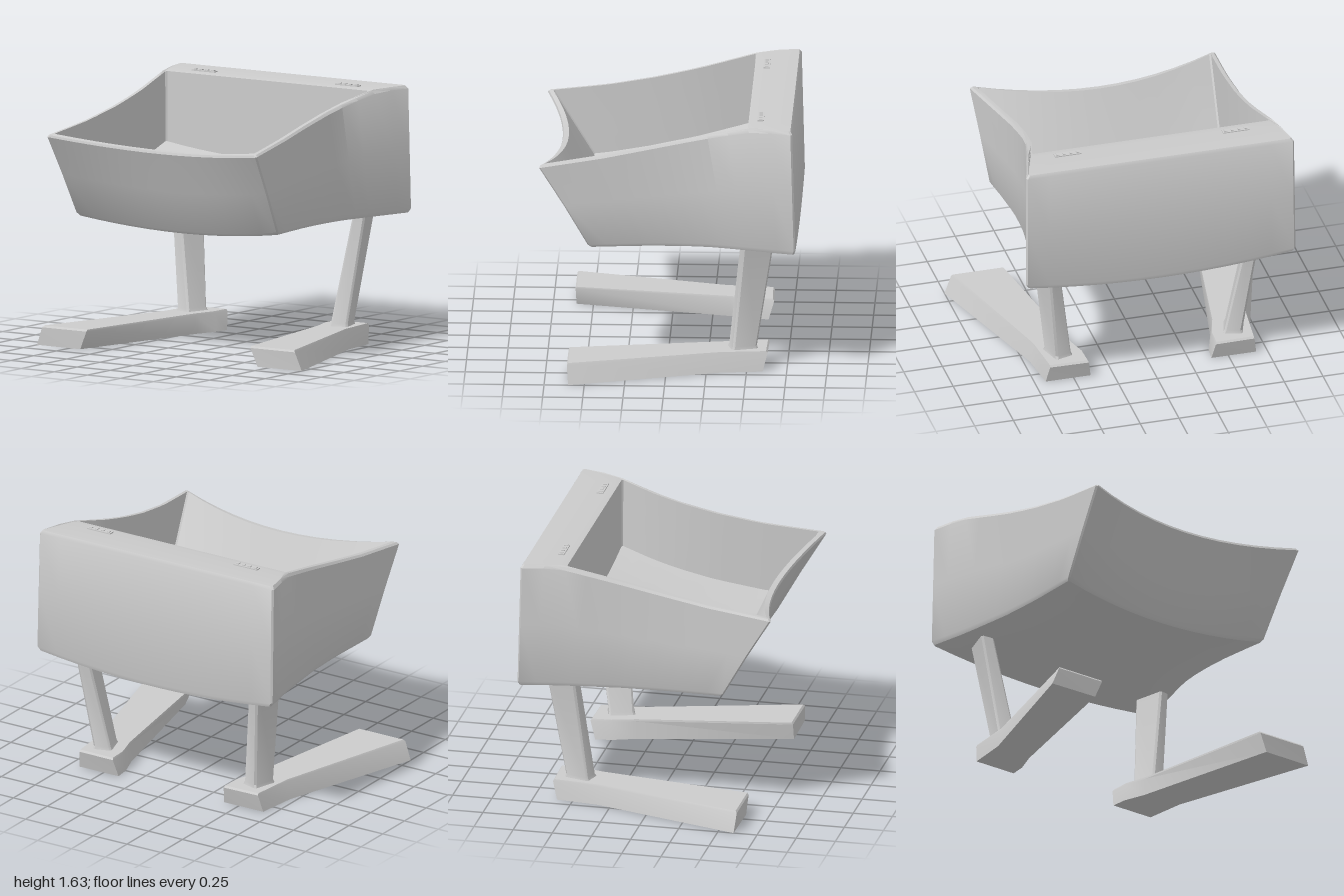
import * as THREE from 'three';
import { toCreasedNormals } from 'three/addons/utils/BufferGeometryUtils.js';

const lerp = THREE.MathUtils.lerp;
const material = new THREE.MeshStandardMaterial({ color: 0xcccccc });

// Piecewise linear lookup through [position, value] pairs
function along(table, z) {
  let i = 1;
  while (i < table.length - 1 && z > table[i][0]) i++;
  const [a, b] = [table[i - 1], table[i]];
  return lerp(a[1], b[1], THREE.MathUtils.clamp((z - a[0]) / (b[0] - a[0]), 0, 1));
}

// Closed solid through rings of [x, y, z]; side = -1 mirrors it in x
function loft(name, rings, side = 1) {
  const n = rings[0].length;
  const loops = rings.map((r) => {
    const m = r.map(([x, y, z]) => [x * side, y, z]);
    return side < 0 ? m.reverse() : m;
  });
  const centre = (r) => [0, 1, 2].map((a) => r.reduce((sum, p) => sum + p[a], 0) / n);
  const pos = [...loops.flat(), centre(loops[0]), centre(loops.at(-1))].flat();
  const index = [];
  const last = (loops.length - 1) * n;
  for (let i = 0; i < n; i++) {
    const j = (i + 1) % n;
    for (let r = 0; r < last; r += n) {
      index.push(r + i, r + j, r + n + i, r + j, r + n + j, r + n + i);
    }
    index.push(last + n, j, i, last + n + 1, last + i, last + j);
  }
  const geo = new THREE.BufferGeometry();
  geo.setAttribute('position', new THREE.Float32BufferAttribute(pos, 3));
  geo.setIndex(index);
  const mesh = new THREE.Mesh(toCreasedNormals(geo, 0.55), material);
  mesh.name = name;
  return mesh;
}

// Basin outlines by depth: rim height and half widths of the two curved sides
const rimHeight = [[-0.81, 1.62], [-0.58, 1.62], [-0.52, 1.61], [-0.15, 1.52], [0.1, 1.465], [0.4, 1.41], [0.8, 1.36]];
const leftWidth = [[-0.81, 0.865], [-0.55, 0.79], [-0.3, 0.72], [-0.12, 0.7], [0.1, 0.7], [0.4, 0.73], [0.8, 0.79]];
const rightWidth = [[-0.81, 0.88], [-0.55, 0.83], [-0.18, 0.785], [0.1, 0.775], [0.5, 0.785], [0.8, 0.8]];

// Point of the basin: u across, v depth, w height, k = 0 outer skin to 1 cavity
function basinPoint(u, v, w, k) {
  const bow = 1 - u * u;
  const f = (v + 1) / 2;
  const front = lerp(0.48 - 0.05 * bow + 0.02 * k, 0.8 - 0.125 * bow - 0.045 * k, w);
  const back = lerp(lerp(-0.81, -0.79, w), -0.51, k);
  const z = lerp(back, front, f);
  const x = lerp(-along(rightWidth, z) + 0.035 * k, along(leftWidth, z) - 0.035 * k, (u + 1) / 2);
  const rim = along(rimHeight, z);
  const base = lerp(0.82, rim - 0.44, k) - 0.06 * bow;
  return [x, lerp(base, rim - 0.075 * bow * f, w), z];
}

// Square loop with chamfered corners, laid onto the basin
function basinRing([s, w, k]) {
  const steps = 12;
  const ring = [];
  for (let edge = 0; edge < 4; edge++) {
    for (let i = 0; i <= steps; i++) {
      const t = lerp(-0.985, 0.985, i / steps) * s;
      const [u, v] = [[t, s], [s, -t], [-t, -s], [-s, t]][edge];
      ring.push(basinPoint(u, v, w, k));
    }
  }
  return ring;
}

function makeBasin() {
  const steps = [
    [0.2, 0, 0], [0.45, 0, 0], [0.7, 0, 0], [0.985, 0, 0], // underside
    [1, 0.03, 0], [1, 0.5, 0], [1, 0.975, 0],              // outer walls
    [0.985, 1, 0], [1, 1, 0.85], [1, 1, 1],                // rim and rear deck
    [1, 0.5, 1], [1, 0, 1],                                // inner walls
    [0.7, 0, 1], [0.45, 0, 1], [0.2, 0, 1],                // floor
  ];
  return loft('basin', steps.map(basinRing));
}

// Rectangle in plan, turned to follow the splayed foot
function postRing(x, y, z, width, depth) {
  const [c, s] = [0.956, 0.29];
  const [w, d] = [width / 2, depth / 2];
  const b = 0.012;
  return [[-w + b, d], [w - b, d], [w, d - b], [w, -d + b], [w - b, -d], [-w + b, -d], [-w, -d + b], [-w, d - b]]
    .map(([p, q]) => [x + p * c + q * s, y, z - p * s + q * c]);
}

function makeLeg(side) {
  const leg = new THREE.Group();
  leg.name = side > 0 ? 'leftLeg' : 'rightLeg';

  // Foot: wide at the front, waisted, with a short block under the post
  const bottom = [[0.67, 0.605], [1, 0.6], [0.71, -0.34], [0.68, -0.6], [0.39, -0.6], [0.4, -0.5], [0.45, -0.36]];
  const top = [[0.62, 0.61], [0.955, 0.61], [0.69, -0.34], [0.66, -0.63], [0.41, -0.635], [0.415, -0.51], [0.46, -0.36]];
  const level = (plan, y, shrink = 1) =>
    plan.map(([x, z]) => [0.6 + (x - 0.6) * shrink, y, z * (1 - (1 - shrink) / 2)]);
  leg.add(loft('foot', [level(bottom, 0), level(top, 0.115), level(top, 0.127, 0.97)], side));

  // Post leaning back and outward, flared where it meets the foot
  leg.add(loft('post', [
    postRing(0.566, 0.11, -0.472, 0.135, 0.18),
    postRing(0.569, 0.145, -0.475, 0.11, 0.155),
    postRing(0.672, 0.87, -0.57, 0.08, 0.2),
  ], side));
  return leg;
}

// Small control plate with four buttons on the rear deck
function makePanel(x) {
  const panel = new THREE.Group();
  panel.name = 'controlPanel';
  const plate = new THREE.Mesh(new THREE.BoxGeometry(0.17, 0.008, 0.04), material);
  plate.name = 'panelPlate';
  panel.add(plate);
  for (let i = 0; i < 4; i++) {
    const button = new THREE.Mesh(new THREE.BoxGeometry(0.018, 0.008, 0.022), material);
    button.name = 'panelButton';
    button.position.set((i - 1.5) * 0.043, 0.005, 0);
    panel.add(button);
  }
  panel.position.set(x, 1.619, -0.585);
  return panel;
}

export function createModel() {
  const model = new THREE.Group();
  model.name = 'basinOnLegs';
  model.add(makeBasin(), makeLeg(1), makeLeg(-1), makePanel(-0.55), makePanel(0.535));
  return model;
}
